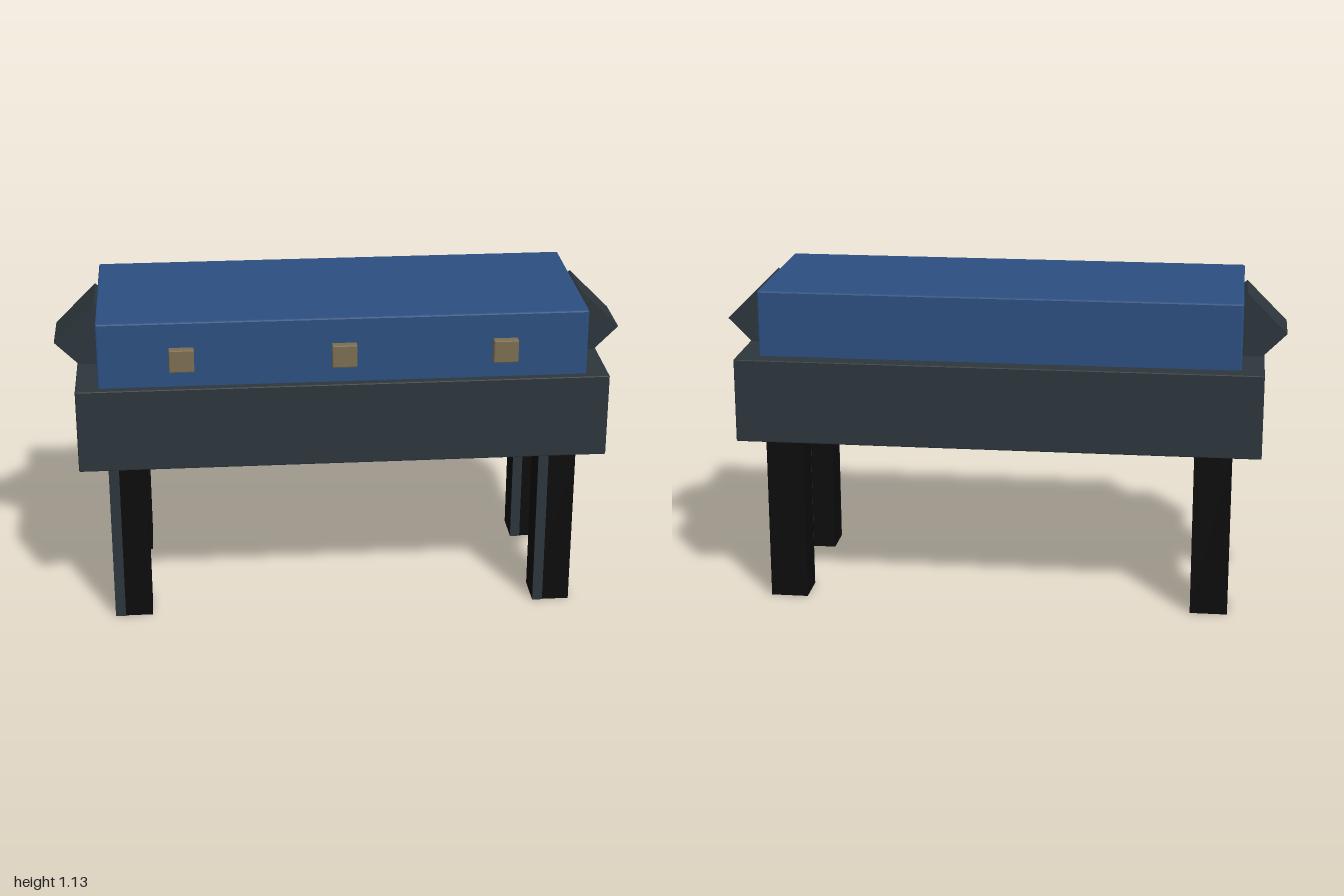
import * as THREE from 'three';
import { RoundedBoxGeometry } from 'three/addons/geometries/RoundedBoxGeometry.js';

const material = (name, color) => {
  const m = new THREE.MeshStandardMaterial({ color });
  m.name = name;
  return m;
};

export function createModel() {
  const model = new THREE.Group();
  model.name = 'chestOnLegs';
  const slate = material('slate', 0x2d363c);
  const blue = material('blue', 0x2c4f80);
  const black = material('black', 0x0c0c0c);
  const brass = material('brass', 0x7c6d50);

  // Box given by its extents; a bevel greater than zero chamfers the edges
  const box = (name, mat, [x0, x1], [y0, y1], [z0, z1], bevel = 0) => {
    const size = [x1 - x0, y1 - y0, z1 - z0];
    let geometry;
    if (bevel) {
      geometry = new RoundedBoxGeometry(...size, 1, bevel);
      geometry.computeVertexNormals(); // flat facets
    } else geometry = new THREE.BoxGeometry(...size);
    const mesh = new THREE.Mesh(geometry, mat);
    mesh.name = name;
    mesh.position.set((x0 + x1) / 2, (y0 + y1) / 2, (z0 + z1) / 2);
    model.add(mesh);
    return mesh;
  };

  // Main case and the lid set slightly forward on it
  box('case', slate, [-0.923, 0.923], [0.592, 0.892], [-0.352, 0.352], 0.004);
  box('lid', blue, [-0.845, 0.845], [0.87, 1.126], [-0.293, 0.325], 0.006);

  // Three latches on the lid's front
  for (const x of [-0.557, 0, 0.557])
    box('latch', brass, [x - 0.043, x + 0.043], [0.952, 1.034], [0.3, 0.352], 0.004);

  // End handles: square blocks turned on edge, partly sunk into the case
  for (const side of [-1, 1]) {
    const handle = box('handle', slate, [-0.1025, 0.1025], [-0.1025, 0.1025], [-0.1, 0.1]);
    handle.position.set(side * 0.855, 0.976, 0);
    handle.rotation.z = Math.PI / 4;
  }

  // Four legs, each with a slate stripe along one side of its front face
  for (const x of [-0.757, 0.757])
    for (const z of [-0.254, 0.254]) {
      box('leg', black, [x - 0.066, x + 0.066], [0, 0.6], [z - 0.065, z + 0.064]);
      box('legStripe', slate, [x - 0.066, x - 0.03], [0, 0.592], [z + 0.064, z + 0.067]);
    }

  return model;
}
